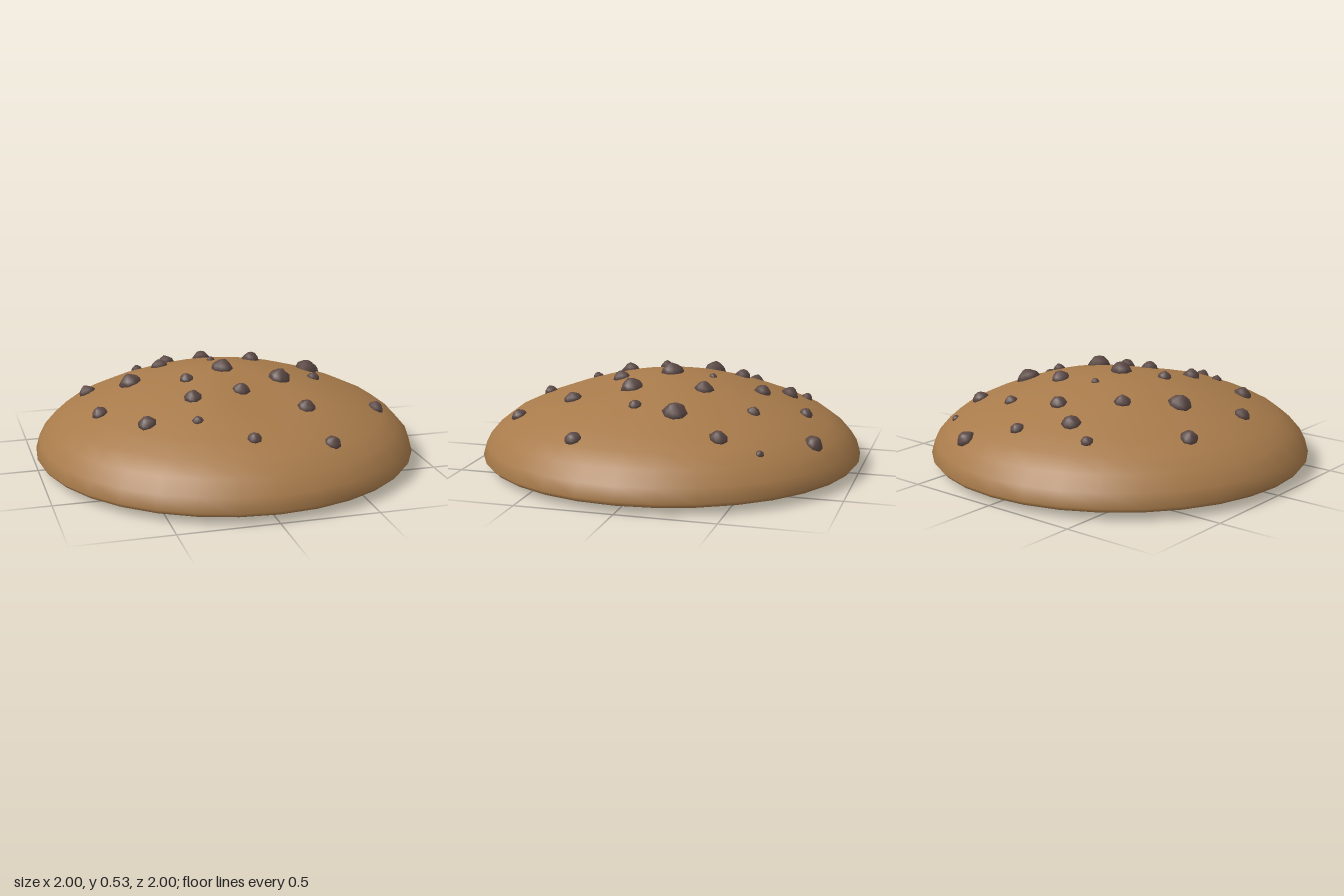
import * as THREE from 'three';
import { mergeVertices } from 'three/addons/utils/BufferGeometryUtils.js';

const dough = new THREE.MeshStandardMaterial({ color: 0xa87b4b });
dough.name = 'bakedDough';
const chocolate = new THREE.MeshStandardMaterial({ color: 0x5c4945 });
chocolate.name = 'chocolate';

// Dome profile from rim to crown: [radius, height]
const DOME = [[1, 0.06], [0.98, 0.13], [0.92, 0.2], [0.84, 0.26], [0.72, 0.317], [0.6, 0.363],
  [0.48, 0.403], [0.36, 0.435], [0.24, 0.46], [0.12, 0.474], [0, 0.477]];
const BASE = [[0, 0], [0.3, 0.002], [0.6, 0.01], [0.93, 0.025], [0.982, 0.038]];

// Chips: [x, z, radius]
const CHIPS = [
  [0.33, -0.82, 0.048], [0.06, -0.73, 0.036], [-0.335, -0.665, 0.032], [-0.18, -0.6, 0.049],
  [0.62, -0.61, 0.021], [0, -0.49, 0.046], [0.31, -0.51, 0.034], [0.63, -0.41, 0.046],
  [-0.68, -0.31, 0.047], [-0.275, -0.32, 0.045], [-0.015, -0.22, 0.022], [0.215, -0.23, 0.05],
  [0.51, -0.16, 0.062], [-0.48, -0.115, 0.061], [-0.01, 0, 0.06], [-0.225, 0.09, 0.038],
  [0.26, 0.14, 0.061], [0.48, 0.055, 0.034], [-0.69, 0.13, 0.043], [0.015, 0.275, 0.046],
  [-0.245, 0.305, 0.047], [-0.505, 0.41, 0.048], [-0.27, 0.505, 0.028], [0.31, 0.445, 0.046],
  [0.75, 0.285, 0.043], [-0.04, 0.7, 0.036], [0.35, 0.73, 0.042],
];

// Shallow sag towards the front of the crown
function sag(x, z) {
  return -0.026 * Math.exp(-((x - 0.12) ** 2 + (z - 0.36) ** 2) / 0.05);
}

function surfaceHeight(x, z) {
  const r = Math.hypot(x, z);
  for (let i = 1; i < DOME.length; i++) {
    const [r0, y0] = DOME[i - 1], [r1, y1] = DOME[i];
    if (r >= r1) return THREE.MathUtils.lerp(y1, y0, (r - r1) / (r0 - r1)) + sag(x, z);
  }
  return 0;
}

function surfaceNormal(x, z) {
  const e = 0.04;
  return new THREE.Vector3(
    surfaceHeight(x - e, z) - surfaceHeight(x + e, z), 2 * e,
    surfaceHeight(x, z - e) - surfaceHeight(x, z + e)).normalize();
}

// Lathe with welded vertices, reshaped by a rule, smooth normals
function smoothLathe(profile, sides, reshape) {
  let g = new THREE.LatheGeometry(profile.map(([r, y]) => new THREE.Vector2(r, y)), sides);
  g.deleteAttribute('uv');
  g.deleteAttribute('normal');
  g = mergeVertices(g, 1e-4);
  const p = g.attributes.position, v = new THREE.Vector3();
  for (let i = 0; i < p.count; i++) {
    reshape(v.fromBufferAttribute(p, i));
    p.setXYZ(i, v.x, v.y, v.z);
  }
  g.computeVertexNormals();
  return g;
}

function seeded(seed) {
  return () => {
    seed = (seed * 16807) % 2147483647;
    return seed / 2147483647;
  };
}

export function createModel() {
  const model = new THREE.Group();
  model.name = 'cookie';

  // Domed body with a nearly flat underside
  const body = new THREE.Mesh(smoothLathe([...BASE, ...DOME], 32, (v) => {
    if (v.y > 0.2) v.y += sag(v.x, v.z);
  }), dough);
  body.name = 'cookieBody';
  model.add(body);

  // Irregular chips pressed into the dome
  const chips = new THREE.Group();
  chips.name = 'chocolateChips';
  const random = seeded(4127);
  const up = new THREE.Vector3(0, 1, 0);
  const chipProfile = [[0, -0.6], [0.8, -0.45], [1, 0.05], [0.82, 0.4], [0.42, 0.72], [0, 0.88]];
  for (const [x, z, r] of CHIPS) {
    const chip = new THREE.Mesh(smoothLathe(chipProfile, 8, (v) => {
      v.multiplyScalar(0.93 + 0.14 * random());
    }), chocolate);
    chip.name = 'chocolateChip';
    chip.position.set(x, surfaceHeight(x, z), z);
    chip.quaternion.setFromUnitVectors(up, surfaceNormal(x, z));
    chip.rotateY(random() * Math.PI);
    chip.scale.setScalar(r);
    chips.add(chip);
  }
  model.add(chips);
  return model;
}
